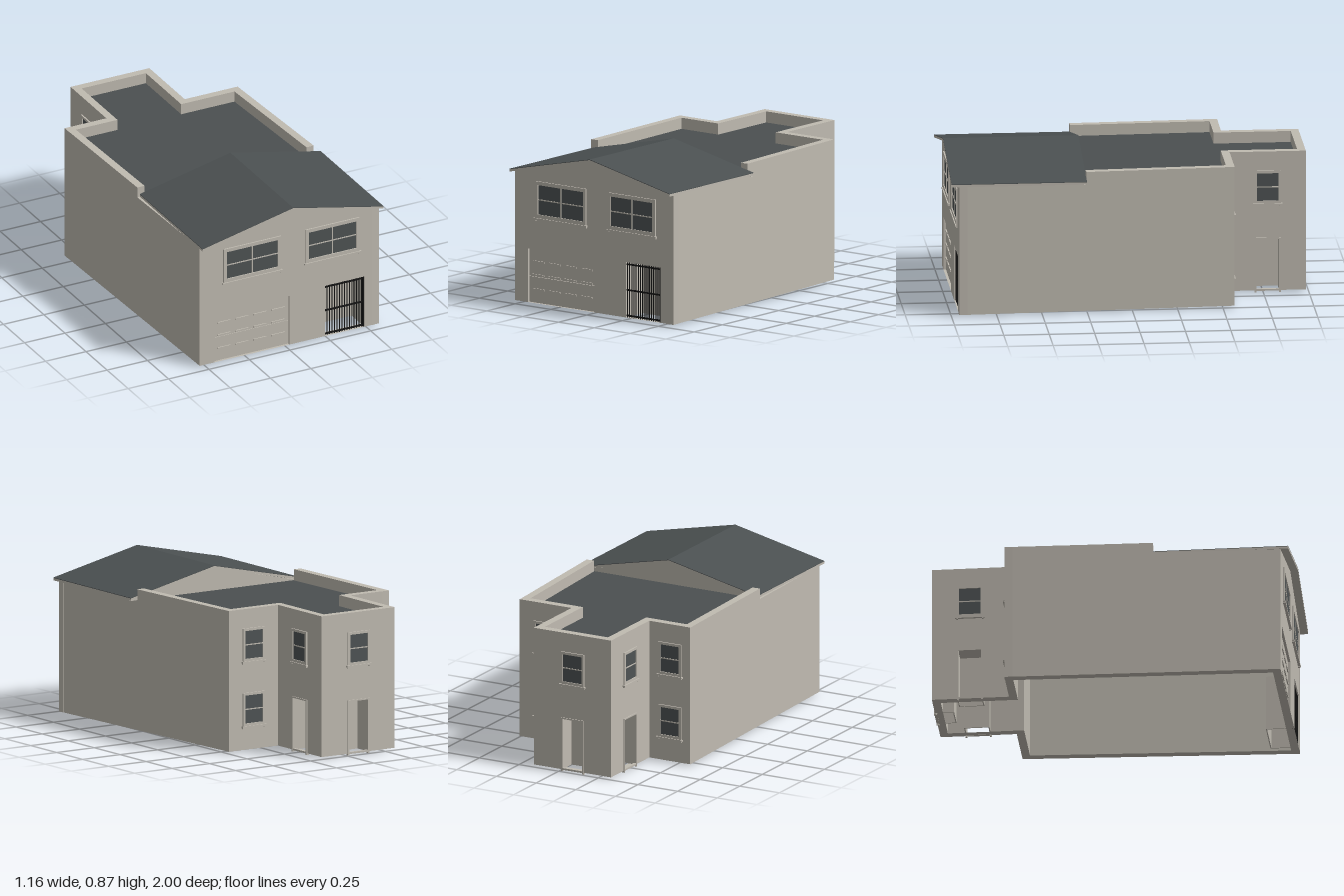
import * as THREE from 'three';

const mat = (name, color, side = THREE.FrontSide) => {
  const m = new THREE.MeshStandardMaterial({ color, side });
  m.name = name;
  return m;
};

export function createModel() {
  const plaster = mat('plaster', 0xc0bbb1);
  const slate = mat('slate', 0x4b5051, THREE.DoubleSide);
  const glass = mat('glass', 0x4e5354);
  const iron = mat('iron', 0x141414);

  const model = new THREE.Group();
  model.name = 'house';
  const T = 0.045, BASE = 0.01, EAVE = 0.735, PARAPET = 0.795, RIDGE_X = 0.02;

  const add = (parent, name, geo, material) => {
    const m = new THREE.Mesh(geo, material);
    m.name = name;
    parent.add(m);
    return m;
  };
  // box given by its min and max corners
  const box = (parent, name, material, x0, x1, y0, y1, z0, z1) => {
    const m = add(parent, name, new THREE.BoxGeometry(x1 - x0, y1 - y0, z1 - z0), material);
    m.position.set((x0 + x1) / 2, (y0 + y1) / 2, (z0 + z1) / 2);
    return m;
  };
  const toShape = pts => new THREE.Shape(pts.map(p => new THREE.Vector2(...p)));
  const rect = (x0, x1, y0, y1) => [[x0, y0], [x1, y0], [x1, y1], [x0, y1]];
  const slab = (pts, depth, z, holes = []) => {
    const s = toShape(pts);
    holes.forEach(h => s.holes.push(toShape(h)));
    return new THREE.ExtrudeGeometry(s, { depth, bevelEnabled: false }).translate(0, 0, z);
  };

  // wall group: local x runs from p to q, local z points outdoors
  const wall = (name, p, q, outline, holes = []) => {
    const g = new THREE.Group();
    g.name = name;
    g.position.set(p[0], 0, p[1]);
    g.rotation.y = Math.atan2(p[1] - q[1], q[0] - p[0]);
    model.add(g);
    add(g, name + 'Panel', slab(outline, T, -T, holes), plaster);
    return g;
  };

  // framed window with sill and glazing bars
  const sashWindow = (parent, x0, x1, y0, y1, border, cross) => {
    const g = new THREE.Group();
    g.name = 'window';
    parent.add(g);
    const b = border, cx = (x0 + x1) / 2, cy = (y0 + y1) / 2;
    add(g, 'windowFrame', slab(rect(x0, x1, y0, y1), 0.008, 0,
      [rect(x0 + b, x1 - b, y0 + b, y1 - b)]), plaster);
    box(g, 'windowGlass', glass, x0 + b, x1 - b, y0 + b, y1 - b, -0.002, 0.002);
    box(g, 'glazingBar', plaster, x0 + b, x1 - b, cy - 0.003, cy + 0.003, 0, 0.005);
    if (cross) box(g, 'glazingBar', plaster, cx - 0.003, cx + 0.003, y0 + b, y1 - b, 0, 0.005);
    box(g, 'windowSill', plaster, x0 - 0.008, x1 + 0.008, y0 - 0.01, y0, 0, 0.014);
    for (const x of [x0 + 0.002, x1 - 0.002])
      box(g, 'sillBracket', plaster, x - 0.005, x + 0.005, y0 - 0.016, y0 - 0.01, 0, 0.01);
  };

  // recess behind an opening: two cheeks, a ceiling and a back panel
  const alcove = (parent, x0, x1, top, depth) => {
    const t = 0.006;
    box(parent, 'alcoveCheek', plaster, x0 - t, x0, BASE, top, -depth, -T);
    box(parent, 'alcoveCheek', plaster, x1, x1 + t, BASE, top, -depth, -T);
    box(parent, 'alcoveCeiling', plaster, x0 - t, x1 + t, top, top + t, -depth, -T);
    box(parent, 'alcoveDoor', plaster, x0 - t, x1 + t, BASE, top + t, -depth - t, -depth);
  };

  const DOOR_W = 0.064, DOOR_TOP = 0.3;
  const doorHole = c => rect(c - DOOR_W, c + DOOR_W, BASE, DOOR_TOP);
  const doorway = (parent, c) => {
    const g = new THREE.Group();
    g.name = 'doorway';
    parent.add(g);
    for (const s of [-1, 1]) {
      const x = c + s * 0.067;
      box(g, 'doorJamb', plaster, x - 0.005, x + 0.005, 0, DOOR_TOP + 0.008, -0.01, 0.005);
    }
    box(g, 'doorHeader', plaster, c - 0.072, c + 0.072, DOOR_TOP, DOOR_TOP + 0.008, -0.01, 0.005);
    box(g, 'doorThreshold', plaster, c - 0.067, c + 0.067, 0.008, 0.018, -0.012, 0.004);
    alcove(g, c - DOOR_W, c + DOOR_W, DOOR_TOP, 0.1);
  };
  const smallWindow = (parent, c, y) => sashWindow(parent, c - 0.073, c + 0.073, y, y + 0.184, 0.014, false);

  // plan corners as [x, z], the side walls run slightly askew
  const A = [-0.535, 0.957], B = [0.572, 0.957], C = [0.492, -0.565], D = [0.165, -0.565];
  const E = [0.165, -0.985], F = [-0.322, -0.985], G = [-0.322, -0.56], H = [-0.58, -0.56];
  const dist = (p, q) => Math.hypot(p[0] - q[0], p[1] - q[1]);

  // front wall with gable; garage and gate openings
  const ox = -A[0], w = dist(A, B);
  const garage = [ox - 0.445, ox + 0.02], gate = [ox + 0.24, ox + 0.483];
  const front = wall('frontWall', A, B,
    [[0, BASE], [w, BASE], [w, EAVE], [ox + RIDGE_X, 0.857], [0, EAVE]],
    [rect(...garage, BASE, 0.31), rect(...gate, BASE, 0.32)]);
  sashWindow(front, ox - 0.39, ox - 0.035, 0.49, 0.695, 0.02, true);
  sashWindow(front, ox + 0.118, ox + 0.45, 0.49, 0.695, 0.02, true);

  // garage door: two leaves with rows of small ribs
  box(front, 'garageDoorLower', plaster, ...garage, BASE, 0.154, -0.03, -0.014);
  box(front, 'garageDoorUpper', plaster, ...garage, 0.156, 0.31, -0.03, -0.014);
  for (const y of [0.08, 0.16, 0.235])
    for (let i = 0; i < 4; i++) {
      const x = garage[0] + 0.025 + i * 0.112;
      box(front, 'garageRib', plaster, x, x + 0.08, y, y + 0.01, -0.014, -0.008);
    }

  // iron gate in front of the entrance
  alcove(front, ...gate, 0.32, 0.15);
  for (let i = 0; i < 16; i++) {
    const x = gate[0] + 0.003 + i * 0.0152;
    box(front, 'gateBar', iron, x - 0.002, x + 0.002, BASE, 0.32, -0.012, -0.008);
  }
  box(front, 'gatePost', iron, gate[1] - 0.007, gate[1], BASE, 0.32, -0.014, -0.004);
  for (const y of [0.02, 0.163, 0.307])
    box(front, 'gateRail', iron, ...gate, y - 0.004, y + 0.004, -0.014, -0.006);

  // long side walls: low under the pitched roof, parapet behind it
  const lB = dist(B, C), lA = dist(H, A);
  wall('leftWall', B, C,
    [[0, BASE], [lB, BASE], [lB, PARAPET], [0.703, PARAPET], [0.703, EAVE], [0, EAVE]]);
  wall('rightWall', H, A,
    [[0, BASE], [lA, BASE], [lA, EAVE], [0.816, EAVE], [0.816, PARAPET], [0, PARAPET]]);

  // rear walls, each side of the narrow wing
  const leftBack = wall('leftBackWall', C, D, rect(0, dist(C, D), BASE, PARAPET));
  const rightBack = wall('rightBackWall', G, H, rect(0, dist(G, H), BASE, PARAPET));
  for (const y of [0.143, 0.503]) {
    smallWindow(leftBack, 0.164, y);
    smallWindow(rightBack, 0.13, y);
  }

  // narrow rear wing: a window above a door on all three sides
  const wing = [
    ['wingLeftWall', D, E, -T, dist(D, E), 0.21],
    ['wingBackWall', E, F, 0, dist(E, F), 0.245],
    ['wingRightWall', F, G, 0, dist(F, G) + T, 0.21],
  ];
  for (const [name, p, q, u0, u1, c] of wing) {
    const g = wall(name, p, q, rect(u0, u1, BASE, PARAPET), [doorHole(c)]);
    doorway(g, c);
    smallWindow(g, c, 0.503);
  }

  // flat roof deck inside the parapet
  const deck = [[-0.492, 0.925], [0.527, 0.925], [0.449, -0.52], [0.12, -0.52],
    [0.12, -0.94], [-0.277, -0.94], [-0.277, -0.515], [-0.533, -0.515]];
  const deckGeo = new THREE.ShapeGeometry(toShape(deck.map(([x, z]) => [x, -z])));
  deckGeo.rotateX(-Math.PI / 2).translate(0, 0.733, 0);
  add(model, 'flatRoofDeck', deckGeo, slate);

  // pitched front roof: pale slab, dark covering and rear gable
  const L = -0.54, R = 0.578;
  const chevron = (y, t) => [[L, y], [RIDGE_X, y + 0.122], [R, y],
    [R, y + t], [RIDGE_X, y + 0.122 + t], [L, y + t]];
  add(model, 'roofSlab', slab(chevron(EAVE, 0.013), 0.745, 0.255), plaster);
  add(model, 'roofCovering', slab(chevron(EAVE + 0.013, 0.003), 0.745, 0.255), slate);
  add(model, 'rearGable', slab([[L, EAVE - 0.003], [R, EAVE - 0.003], [RIDGE_X, 0.858]], 0.01, 0.262), plaster);

  return model;
}
